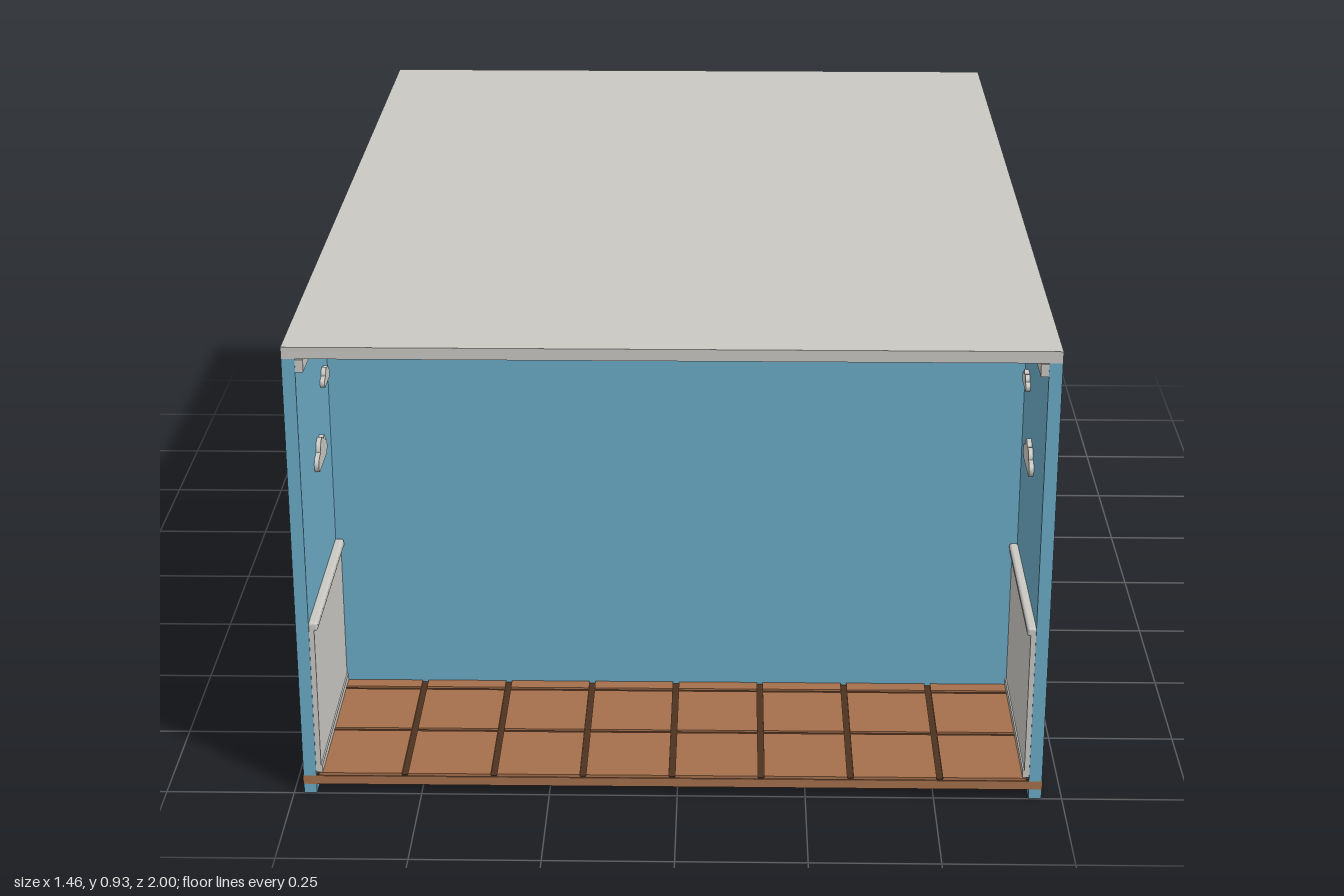
import * as THREE from 'three';
import { RoundedBoxGeometry } from 'three/addons/geometries/RoundedBoxGeometry.js';

const mat = (name, color) => {
  const m = new THREE.MeshStandardMaterial({ color });
  m.name = name;
  return m;
};

export function createModel() {
  const room = new THREE.Group();
  room.name = 'playroom';
  const blue = mat('wall blue', 0x6cabc6);
  const white = mat('warm white', 0xc9c8c3);
  const brown = mat('wood brown', 0xa5704c);
  const grout = mat('dark grout', 0x4e3220);
  const yellow = mat('lid yellow', 0xd0ad2a);
  const royal = mat('blanket blue', 0x1f4fa8);

  const add = (name, geometry, material, parent = room) => {
    const m = new THREE.Mesh(geometry, material);
    m.name = name;
    parent.add(m);
    return m;
  };
  // Box given by its limits on each axis; r rounds its edges
  const box = (name, material, [x0, x1], [y0, y1], [z0, z1], parent = room, r = 0) => {
    const size = [x1 - x0, y1 - y0, z1 - z0];
    const g = r ? new RoundedBoxGeometry(...size, 2, r) : new THREE.BoxGeometry(...size);
    g.translate((x0 + x1) / 2, (y0 + y1) / 2, (z0 + z1) / 2);
    return add(name, g, material, parent);
  };
  const group = (name) => {
    const g = new THREE.Group();
    g.name = name;
    room.add(g);
    return g;
  };

  // Shell: open at both ends, with one cross wall
  const XL = -0.73, XR = 0.71, T = 0.025, mid = (XL + XR) / 2;
  box('roof', white, [XL, XR], [0.907, 0.93], [-1, 1]);
  box('leftWall', blue, [XR - T, XR], [0, 0.907], [-0.999, 0.999]);
  box('rightWall', blue, [XL, XL + T], [0, 0.907], [-0.999, 0.999]);
  box('partition', blue, [XL + 0.002, XR - 0.002], [0, 0.906], [0.57, 0.6]);

  // Floor slab, grout and tiles
  box('floorSlab', brown, [XL - 0.001, XR + 0.001], [0.02, 0.038], [-1, 1]);
  const inL = XL + T, inR = XR - T;
  box('grout', grout, [inL, inR], [0.038, 0.041], [-0.998, 0.998]);
  const tiles = group('floorTiles');
  const nx = 8, nz = 11, gap = 0.006;
  const dx = (inR - inL) / nx, dz = 2 / nz;
  for (let i = 0; i < nx; i++)
    for (let j = 0; j < nz; j++) {
      const x = inL + i * dx, z = -1 + j * dz;
      box('tile', brown, [x + gap, x + dx - gap], [0.04, 0.045],
        [z + (j ? gap : 0), z + dz - (j < nz - 1 ? gap : 0)], tiles);
    }

  // Cloud outline, extruded thinly
  const cloudGeometry = () => {
    const s = new THREE.Shape();
    s.moveTo(-0.045, -0.025);
    s.lineTo(0.045, -0.025);
    s.absarc(0.045, -0.01, 0.015, -Math.PI / 2, Math.PI / 2);
    s.absarc(0.022, 0.006, 0.018, 0, Math.PI * 0.75);
    s.absarc(-0.008, 0.008, 0.022, Math.PI * 0.2, Math.PI);
    s.absarc(-0.045, -0.01, 0.015, Math.PI / 2, Math.PI * 1.5);
    return new THREE.ExtrudeGeometry(s, { depth: 0.009, bevelEnabled: false, curveSegments: 8 });
  };

  // Trim on both inner walls, mirrored about the room's middle
  for (const side of [-1, 1]) {
    const trim = group(side > 0 ? 'leftTrim' : 'rightTrim');
    const face = (inR - inL) / 2;
    const strip = (name, depth, ys, zs, r = 0) => {
      const a = mid + side * (face - depth), b = mid + side * (face + 0.003);
      return box(name, white, [Math.min(a, b), Math.max(a, b)], ys, zs, trim, r);
    };
    strip('crownMoulding', 0.015, [0.88, 0.904], [-0.998, 0.998]);
    for (const zs of [[-0.997, 0.57], [0.6, 0.997]]) {
      strip('wainscot', 0.01, [0.045, 0.355], zs);
      strip('chairRail', 0.017, [0.348, 0.367], zs, 0.006);
      strip('baseRail', 0.013, [0.045, 0.06], zs);
    }
    // Window board with a raised frame
    strip('windowBoard', 0.006, [0.42, 0.75], [-0.35, 0.15]);
    for (const y of [0.42, 0.73]) strip('windowFrame', 0.012, [y, y + 0.02], [-0.35, 0.15]);
    for (const z of [-0.35, 0.13]) strip('windowFrame', 0.012, [0.42, 0.75], [z, z + 0.02]);
    // Clouds
    for (const [z, y, s] of [[-0.73, 0.68, 1], [-0.46, 0.77, 1], [0.77, 0.63, 1], [0.67, 0.75, 0.6]]) {
      const c = add('cloud', cloudGeometry(), white, trim);
      c.scale.set(s, s, 1);
      c.rotation.y = -side * Math.PI / 2;
      c.position.set(mid + side * face, y, z);
    }
  }

  // Toy chest; its lid runs through the wall
  const chest = group('toyChest');
  box('chestBody', brown, [0.53, 0.7], [0.045, 0.157], [-0.51, -0.38], chest);
  box('chestLid', yellow, [0.515, 0.716], [0.153, 0.18], [-0.52, -0.37], chest, 0.008);

  // Open shelf unit
  const shelf = group('shelfUnit');
  for (const x of [0.515, 0.67]) box('shelfUpright', white, [x, x + 0.02], [0.045, 0.36], [-0.23, -0.15], shelf);
  for (let i = 0; i < 4; i++) {
    const y = 0.08 + i * 0.08;
    box('shelfBoard', white, [0.53, 0.675], [y, y + 0.014], [-0.23, -0.15], shelf);
  }

  // Bed along the wall, with posts and boards at both ends
  const bed = group('bed');
  box('blanket', royal, [0.5, 0.69], [0.09, 0.25], [-0.1, 0.25], bed, 0.012);
  box('pillow', white, [0.53, 0.67], [0.245, 0.28], [0.16, 0.25], bed, 0.015);
  box('footboard', brown, [0.505, 0.71], [0.1, 0.25], [-0.118, -0.102], bed);
  box('headboard', brown, [0.505, 0.708], [0.1, 0.4], [0.262, 0.278], bed);
  for (const x of [0.505, 0.713]) {
    const outer = x > 0.6;
    const post = (z, y0, y1, r) =>
      add('bedPost', new THREE.CylinderGeometry(r, r, y1 - y0, 12), brown, bed)
        .position.set(x, (y0 + y1) / 2, z);
    post(0.27, outer ? 0.14 : 0.045, 0.45, 0.01);
    post(-0.11, outer ? 0.125 : 0.045, 0.27, 0.011);
    add('bedKnob', new THREE.SphereGeometry(0.018, 16, 12), brown, bed).position.set(x, 0.45, 0.27);
  }
  return room;
}
